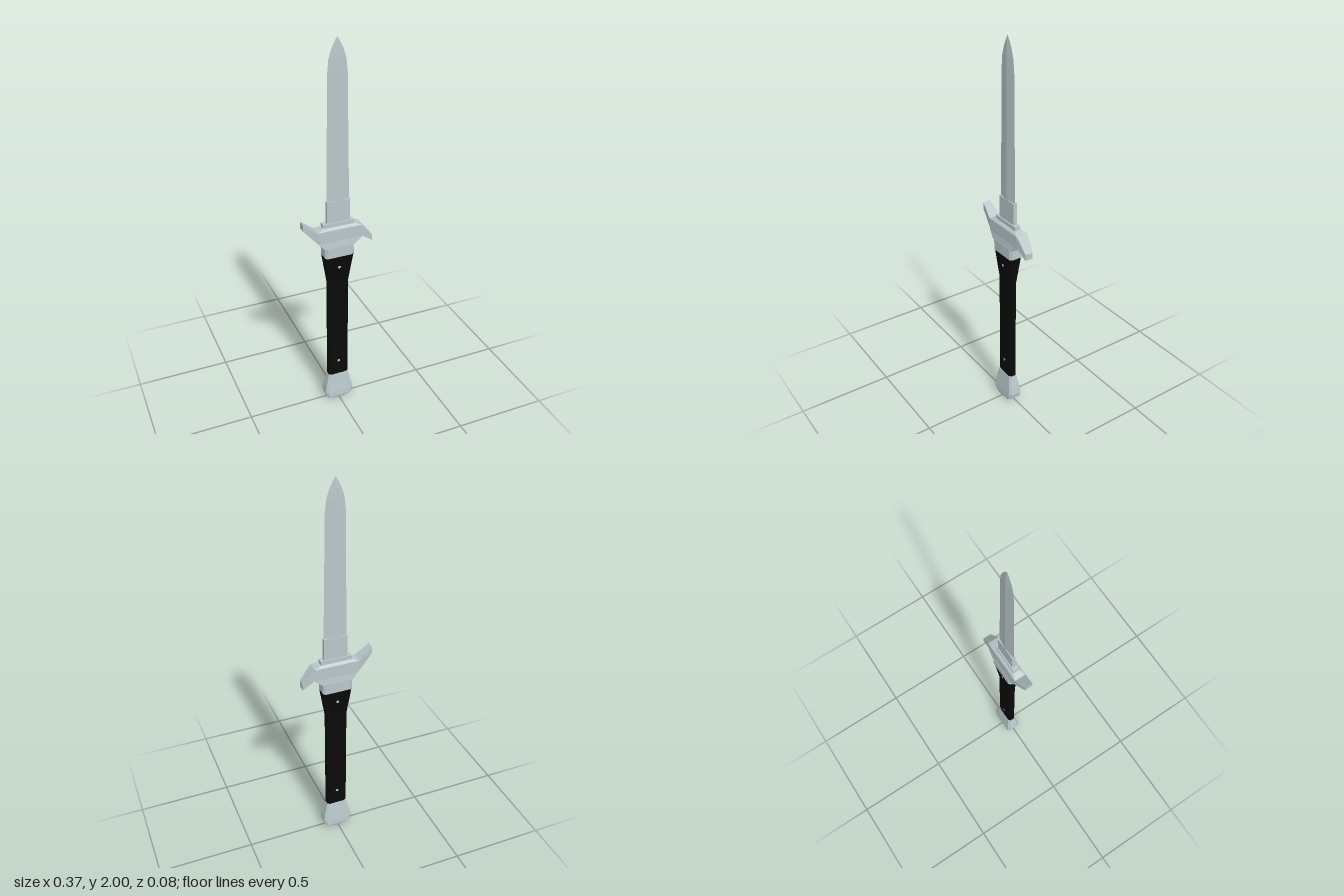
import * as THREE from 'three';

// Flat-shaded loft through rings of equal point count, listed from bottom to top
function loft(rings) {
  const pos = [], n = rings[0].length;
  const tri = (...pts) => pts.forEach(p => pos.push(...p));
  for (let k = 0; k < rings.length - 1; k++) {
    const a = rings[k], b = rings[k + 1];
    for (let i = 0; i < n; i++) {
      const j = (i + 1) % n;
      tri(a[i], a[j], b[j]);
      tri(a[i], b[j], b[i]);
    }
  }
  const lo = rings[0], hi = rings[rings.length - 1];
  for (let i = 1; i < n - 1; i++) {
    tri(lo[0], lo[i + 1], lo[i]);
    tri(hi[0], hi[i], hi[i + 1]);
  }
  const g = new THREE.BufferGeometry();
  g.setAttribute('position', new THREE.Float32BufferAttribute(pos, 3));
  g.computeVertexNormals();
  return g;
}

// Chamfered rectangle: height, left x, right x, half depth, chamfer in x and z
const octagon = ([y, l, r, z, cx, cz]) => [
  [l + cx, y, z], [r - cx, y, z], [r, y, z - cz], [r, y, cz - z],
  [r - cx, y, -z], [l + cx, y, -z], [l, y, cz - z], [l, y, z - cz],
];
const rectangle = ([y, l, r, z]) => [[l, y, z], [r, y, z], [r, y, -z], [l, y, -z]];
const diamond = ([y, l, r, z]) => {
  const c = (l + r) / 2;
  return [[c, y, z], [r, y, 0], [c, y, -z], [l, y, 0]];
};

export function createModel() {
  const group = new THREE.Group();
  const steel = new THREE.MeshStandardMaterial({ color: 0xb9c7ca });
  const black = new THREE.MeshStandardMaterial({ color: 0x0a0a0a });
  const add = (name, geometry, material) => {
    const mesh = new THREE.Mesh(geometry, material);
    mesh.name = name;
    group.add(mesh);
    return mesh;
  };

  // Blade with a central ridge and a short point
  add('blade', loft([
    [1.09, -0.057, 0.066, 0.009],
    [1.84, -0.047, 0.052, 0.008],
    [1.905, -0.041, 0.045, 0.007],
    [1.95, -0.027, 0.030, 0.005],
    [1.98, -0.012, 0.015, 0.003],
    [2.0, 0.0005, 0.0015, 0.0005],
  ].map(diamond)), steel);

  // Flat base of the blade and the plate it sits on
  add('bladeBase', loft([
    [1.08, -0.058, 0.067, 0.0095], [1.21, -0.056, 0.065, 0.0095],
  ].map(rectangle)), steel);
  add('guardPlate', loft([
    [1.06, -0.079, 0.085, 0.016], [1.095, -0.079, 0.085, 0.016],
  ].map(rectangle)), steel);

  // Guard body, flaring from the collar to a bevelled top
  add('collar', loft([
    [0.91, -0.075, 0.08, 0.037, 0.012, 0.009],
    [0.968, -0.076, 0.079, 0.037, 0.012, 0.009],
  ].map(octagon)), steel);
  add('guardBody', loft([
    [0.965, -0.077, 0.08, 0.036],
    [1.0, -0.11, 0.122, 0.031],
    [1.064, -0.113, 0.123, 0.031],
    [1.075, -0.08, 0.09, 0.02],
  ].map((s, i) => rectangle(i === 1 ? [1.0, -0.108, 0.12, 0.031] : s))), steel);

  // Guard arms, one swept up and one swept down, thinner toward the ends
  const arms = {
    rightArm: [[-0.077, 0.963], [-0.185, 1.085], [-0.185, 1.12], [-0.113, 1.064], [-0.07, 1.064]],
    leftArm: [[0.08, 0.963], [0.126, 1.0], [0.183, 0.957], [0.183, 0.99], [0.123, 1.064], [0.07, 1.064]],
  };
  for (const [name, points] of Object.entries(arms)) {
    const shape = new THREE.Shape(points.map(p => new THREE.Vector2(...p)));
    let g = new THREE.ExtrudeGeometry(shape, { depth: 1, bevelEnabled: false });
    if (g.index) g = g.toNonIndexed();
    const p = g.attributes.position;
    for (let i = 0; i < p.count; i++) {
      const t = THREE.MathUtils.clamp((Math.abs(p.getX(i)) - 0.115) / 0.07, 0, 1);
      p.setZ(i, (p.getZ(i) > 0.5 ? 1 : -1) * (0.0315 - 0.011 * t));
    }
    g.computeVertexNormals();
    add(name, g, steel);
  }

  // Grip, flared below the guard
  add('grip', loft([
    [0.155, -0.053, 0.057, 0.021, 0.014, 0.008],
    [0.75, -0.053, 0.057, 0.021, 0.014, 0.008],
    [0.91, -0.075, 0.08, 0.034, 0.014, 0.009],
  ].map(octagon)), black);

  // Rivets on both faces of the grip
  for (const [y, z] of [[0.845, 0.0287], [0.245, 0.021]]) {
    const pin = new THREE.CylinderGeometry(0.008, 0.008, 2 * z + 0.003, 8);
    pin.rotateX(Math.PI / 2);
    add('rivet', pin, steel).position.set(0.002, y, 0);
  }

  // Pommel, wide at the bottom with a rounded underside
  add('pommel', loft([
    [0.0, -0.03, 0.033, 0.034, 0.012, 0.008],
    [0.006, -0.055, 0.06, 0.037, 0.012, 0.009],
    [0.018, -0.07, 0.075, 0.039, 0.012, 0.01],
    [0.045, -0.077, 0.081, 0.037, 0.012, 0.01],
    [0.075, -0.072, 0.076, 0.033, 0.012, 0.009],
    [0.157, -0.053, 0.057, 0.0215, 0.012, 0.008],
  ].map(octagon)), steel);

  return group;
}
